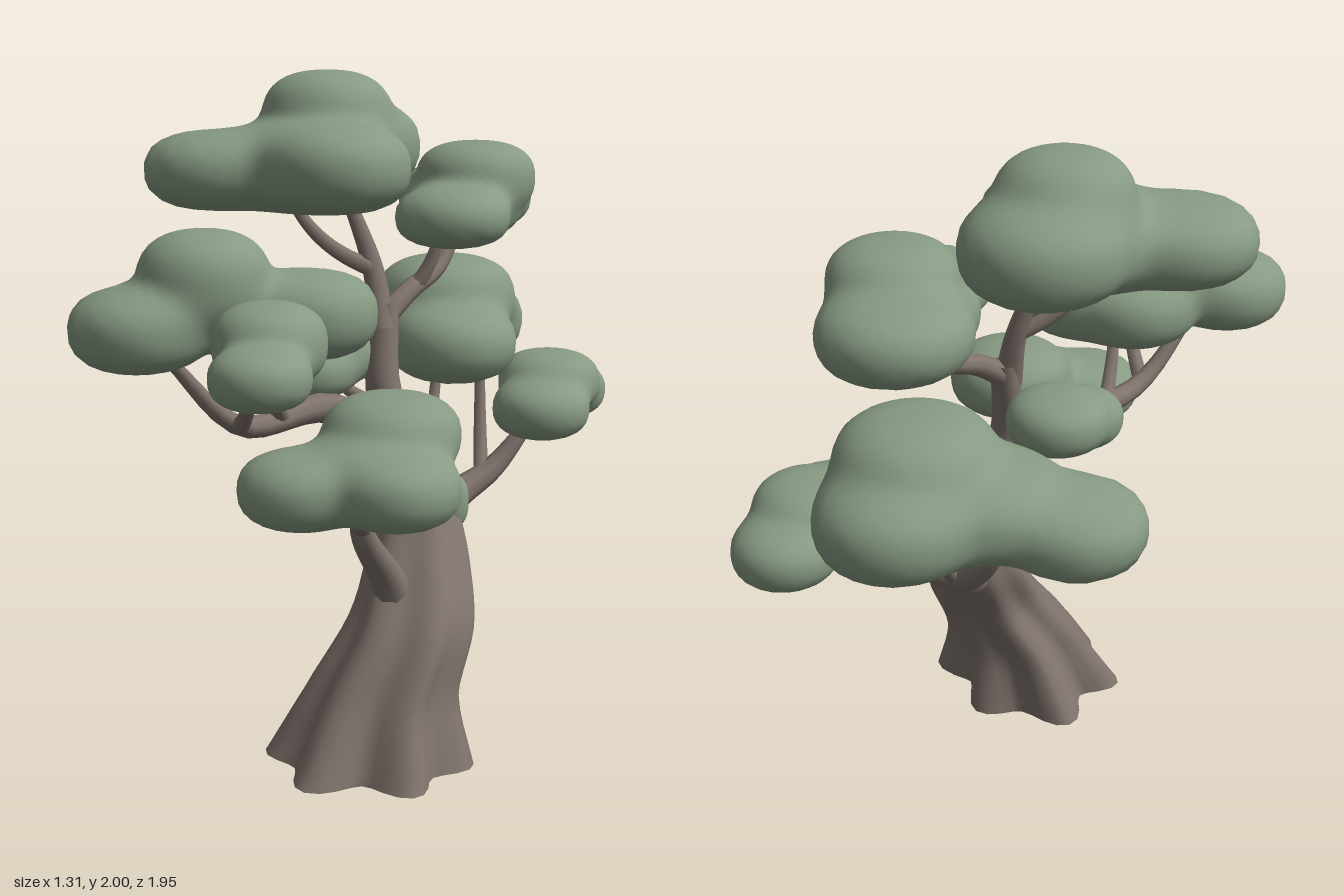
import * as THREE from 'three';
import { mergeVertices } from 'three/addons/utils/BufferGeometryUtils.js';

const leafGreen = new THREE.MeshStandardMaterial({ color: 0x879a83 });
const barkBrown = new THREE.MeshStandardMaterial({ color: 0x80746d, side: THREE.DoubleSide });
const V = (a) => new THREE.Vector3(...a);

// drop seams so that normals are smooth all round
function weld(geo) {
  geo.deleteAttribute('uv');
  geo.deleteAttribute('normal');
  const g = mergeVertices(geo, 1e-5);
  g.computeVertexNormals();
  return g;
}

function part(name, geo, material) {
  const mesh = new THREE.Mesh(geo, material);
  mesh.name = name;
  return mesh;
}

// soft union of flattened, slightly boxy ellipsoids; lobe = [x, y, z, radius, optional half height]
function field(p, lobes) {
  const k = 7;
  let sum = 0;
  for (const [x, y, z, r, h = 0.6 * r] of lobes) {
    const flat = Math.hypot((p.x - x) / r, (p.z - z) / r);
    const d = Math.pow(Math.pow(flat, 2.5) + Math.pow(Math.abs(p.y - y) / h, 2.5), 0.4) - 1;
    sum += Math.exp(-k * d);
  }
  return -Math.log(sum) / k;
}

// foliage pad: a ball pushed out along each ray to the surface of the lobes
function foliage(name, ...lobes) {
  const c = new THREE.Vector3();
  lobes.forEach((l) => c.add(V(l.slice(0, 3)).divideScalar(lobes.length)));
  const geo = weld(new THREE.IcosahedronGeometry(1, 11));
  const pos = geo.attributes.position;
  const dir = new THREE.Vector3(), p = new THREE.Vector3();
  const at = (t) => field(p.copy(c).addScaledVector(dir, t), lobes);
  for (let i = 0; i < pos.count; i++) {
    dir.fromBufferAttribute(pos, i).normalize();
    let hi = 0.8;
    while (hi > 0.03 && at(hi - 0.02) > 0) hi -= 0.02;
    let lo = hi - 0.02;
    for (let n = 0; n < 10; n++) {
      const mid = (lo + hi) / 2;
      if (at(mid) > 0) hi = mid; else lo = mid;
    }
    p.copy(c).addScaledVector(dir, hi);
    pos.setXYZ(i, p.x, p.y, p.z);
  }
  geo.computeVertexNormals();
  return part(name, geo, leafGreen);
}

// tapering tube along a curve
function taper(name, curve, r0, r1) {
  const seg = 18, sides = 8;
  const geo = new THREE.TubeGeometry(curve, seg, 1, sides, false);
  const pos = geo.attributes.position, v = new THREE.Vector3();
  for (let i = 0; i < pos.count; i++) {
    const t = Math.floor(i / (sides + 1)) / seg;
    const p = curve.getPointAt(t);
    v.fromBufferAttribute(pos, i).sub(p).multiplyScalar(r0 + (r1 - r0) * t).add(p);
    pos.setXYZ(i, v.x, v.y, v.z);
  }
  return part(name, weld(geo), barkBrown);
}

const limb = (name, radius, ...points) =>
  taper(name, new THREE.CatmullRomCurve3(points.map(V)), radius, 0.017);

// twig that reaches outward first and then turns up
function twig(name, from, to) {
  const a = V(from), b = V(to);
  const bend = a.clone().lerp(b, 0.75);
  bend.y = a.y + (b.y - a.y) * 0.3;
  return taper(name, new THREE.QuadraticBezierCurve3(a, bend, b), 0.026, 0.015);
}

// leaning trunk with fluted, flaring roots, open underneath
function trunk() {
  // centre x, y, z and radius
  const rings = [
    [0.19, 0, 0.19, 0.275], [0.2, 0.2, 0.13, 0.21], [0.23, 0.4, 0.02, 0.18], [0.18, 0.58, -0.09, 0.15],
    [0.14, 0.74, -0.165, 0.1], [0.115, 0.88, -0.145, 0.082], [0.07, 1.05, -0.065, 0.057], [0.04, 1.32, -0.11, 0.04],
  ];
  const path = new THREE.CatmullRomCurve3(rings.map((r) => V(r.slice(0, 3))));
  const size = new THREE.CatmullRomCurve3(rings.map((r) => V([r[3], 0, 0])));
  const geo = weld(new THREE.CylinderGeometry(1, 1, 1, 48, 36, true));
  const pos = geo.attributes.position;
  for (let i = 0; i < pos.count; i++) {
    const t = THREE.MathUtils.clamp(pos.getY(i) + 0.5, 0, 1);
    const p = path.getPoint(t);
    const a = Math.atan2(pos.getX(i), pos.getZ(i));
    const depth = 0.17 * Math.pow(1 - t, 2.2);
    const r = size.getPoint(t).x * (1 + depth * Math.cos(6 * a + 2 * t) + depth * 0.35 * Math.cos(3 * a + 1));
    pos.setXYZ(i, p.x + Math.sin(a) * r, Math.max(0, p.y), p.z + Math.cos(a) * r * 0.9);
  }
  geo.computeVertexNormals();
  return part('trunk', geo, barkBrown);
}

export function createModel() {
  const tree = new THREE.Group();
  tree.name = 'tree';
  tree.add(trunk());

  // main limbs
  tree.add(limb('lowFrontLimb', 0.065, [0.21, 0.38, 0.02], [0.21, 0.54, 0.11], [0.235, 0.76, 0.28], [0.28, 0.95, 0.28]));
  tree.add(limb('frontLimb', 0.06, [0.12, 0.84, -0.17], [0.01, 1.03, 0.12], [-0.02, 1.05, 0.5], [-0.08, 1.27, 0.72]));
  tree.add(limb('backRightLimb', 0.06, [0.13, 0.58, -0.15], [0.02, 0.71, -0.35], [-0.13, 0.83, -0.44], [-0.23, 0.95, -0.48], [-0.24, 1.1, -0.48]));
  tree.add(limb('backLeftLimb', 0.065, [0.15, 0.58, -0.15], [0.16, 0.68, -0.31], [0.22, 0.76, -0.45], [0.3, 0.93, -0.58]));
  tree.add(limb('crownLimb', 0.042, [0.05, 1.24, -0.08], [0, 1.42, -0.1], [-0.08, 1.66, -0.06]));
  tree.add(limb('upperBackLimb', 0.038, [0.04, 1.26, -0.08], [0.06, 1.34, -0.2], [0.07, 1.4, -0.35], [0.07, 1.55, -0.48]));

  // side twigs
  tree.add(twig('lowFrontTwig', [0.23, 0.74, 0.26], [0.38, 0.93, 0.5]));
  tree.add(twig('frontTwig', [-0.01, 1.03, 0.32], [0.07, 1.3, 0.48]));
  tree.add(twig('frontSideTwig', [-0.02, 1.05, 0.5], [0.2, 1.27, 0.7]));
  tree.add(twig('backTwig', [0, 0.72, -0.36], [-0.08, 1.1, -0.58]));
  tree.add(twig('backUpperTwig', [0.2, 0.74, -0.41], [0.1, 1.1, -0.55]));
  tree.add(twig('crownTwig', [0, 1.42, -0.09], [-0.18, 1.66, 0.08]));
  tree.add(twig('upperBackTwig', [0.06, 1.35, -0.23], [0.13, 1.56, -0.28]));
  tree.add(twig('middleTwig', [0.07, 1, -0.08], [-0.1, 1.13, 0]));

  // foliage pads, from the crown down
  tree.add(foliage('crownFoliage', [-0.17, 1.86, -0.1, 0.19, 0.135], [-0.2, 1.76, -0.23, 0.23],
    [-0.37, 1.71, 0.18, 0.21, 0.115], [0, 1.725, 0.07, 0.21], [-0.18, 1.72, 0.02, 0.22]));
  tree.add(foliage('upperBackFoliage', [0, 1.59, -0.6, 0.21, 0.11], [0.13, 1.67, -0.46, 0.18],
    [0.19, 1.57, -0.24, 0.17, 0.09], [0.09, 1.57, -0.43, 0.18, 0.09]));
  tree.add(foliage('frontFoliage', [-0.07, 1.46, 0.58, 0.18, 0.14], [-0.17, 1.34, 0.73, 0.19],
    [0.13, 1.36, 0.36, 0.18, 0.12], [-0.04, 1.35, 0.42, 0.19]));
  tree.add(foliage('frontSideFoliage', [0.24, 1.34, 0.68, 0.15, 0.11], [0.34, 1.29, 0.84, 0.13]));
  tree.add(foliage('backFoliage', [-0.08, 1.26, -0.62, 0.22, 0.13], [-0.13, 1.15, -0.76, 0.22],
    [-0.47, 1.1, -0.42, 0.19], [0.06, 1.14, -0.45, 0.2], [-0.26, 1.15, -0.53, 0.21]));
  tree.add(foliage('backSideFoliage', [0.34, 0.95, -0.53, 0.15], [0.24, 0.95, -0.82, 0.15], [0.28, 1.01, -0.68, 0.16]));
  tree.add(foliage('middleFoliage', [-0.11, 1.16, -0.05, 0.15], [-0.1, 1.12, 0.07, 0.13]));
  tree.add(foliage('lowFrontFoliage', [0.35, 1.04, 0.29, 0.19], [0.48, 0.94, 0.45, 0.17],
    [0.25, 0.93, 0.57, 0.17], [0.36, 0.96, 0.42, 0.17]));
  tree.add(foliage('trunkSprig', [0.225, 0.71, -0.19, 0.06, 0.085]));
  return tree;
}
